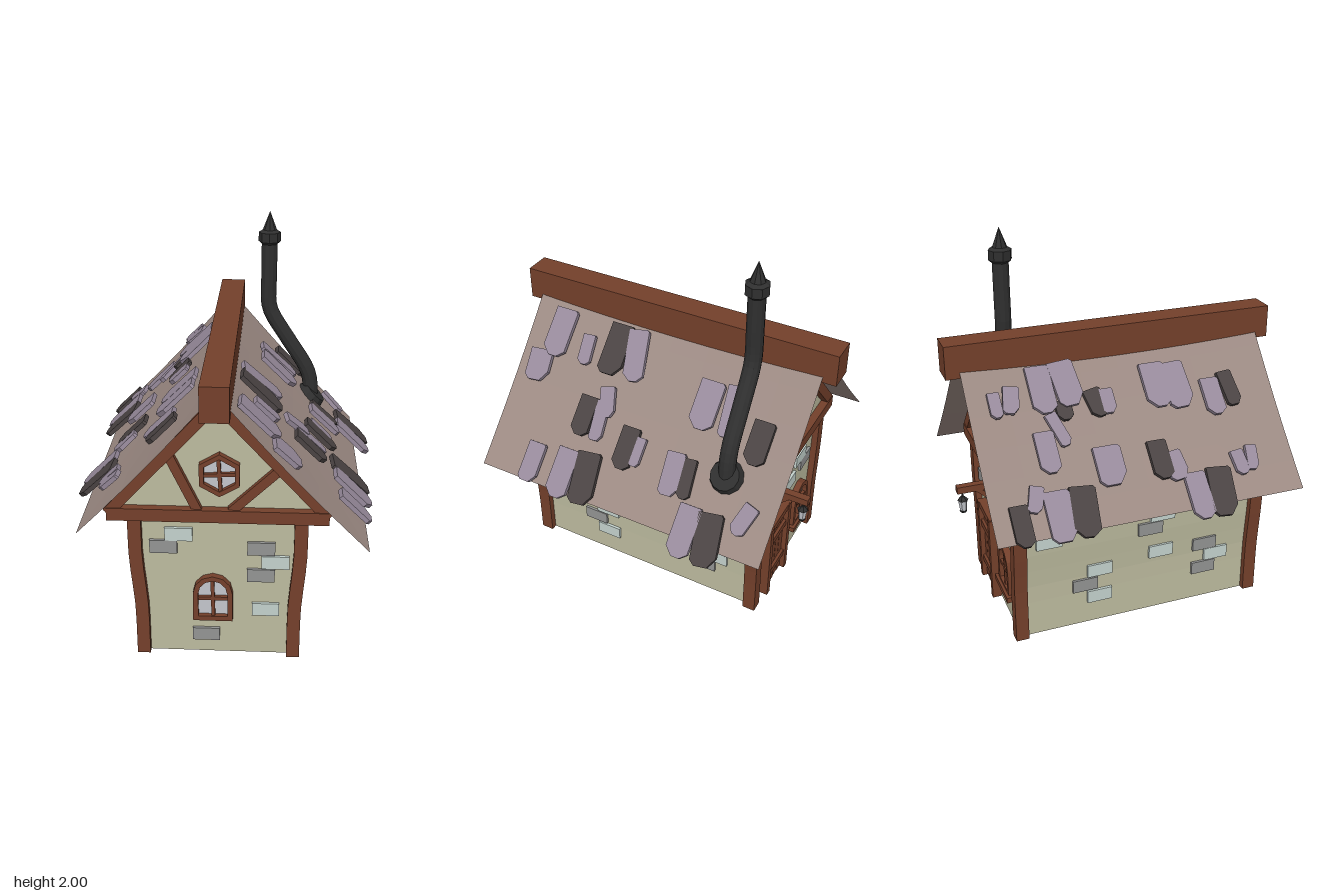
import * as THREE from 'three';

const mat = (color, opts = {}) => new THREE.MeshStandardMaterial({ color, flatShading: true, ...opts });
const M = {
  wall: mat(0xbdbb9f, { side: THREE.DoubleSide }),
  roof: mat(0x9c8a83, { side: THREE.DoubleSide }),
  wood: mat(0x74402b),
  iron: mat(0x2f2f2f),
  glass: mat(0xc3c6cc, { side: THREE.DoubleSide }),
  tile: mat(0x978a9b),
  darkTile: mat(0x4a4343),
  brick: mat(0xc4d2cd),
  darkBrick: mat(0x939493),
};

const HALF = 0.375, FRONT = 0.667, BACK = -0.635, MID = (FRONT + BACK) / 2;
// Outward lean of posts and walls at height y
const flare = (y) => 0.025 * THREE.MathUtils.smoothstep(y, 0.22, 0.62);
// Roof height at distance d from the ridge
const roofY = (d) => 1.46 - 1.085 * d - 0.02 * Math.sin((Math.PI * Math.min(d, 0.7)) / 0.7);

function add(parent, name, geo, material, x = 0, y = 0, z = 0) {
  const m = new THREE.Mesh(geo, material);
  m.name = name;
  m.position.set(x, y, z);
  parent.add(m);
  return m;
}
const box = (parent, name, material, w, h, d, x, y, z) =>
  add(parent, name, new THREE.BoxGeometry(w, h, d), material, x, y, z);

// Flat beam running between two points of a facade
function beam(parent, name, [x1, y1], [x2, y2], w, d, z) {
  const m = box(parent, name, M.wood, Math.hypot(x2 - x1, y2 - y1), w, d, (x1 + x2) / 2, (y1 + y2) / 2, z);
  m.rotation.z = Math.atan2(y2 - y1, x2 - x1);
}
const poly = (pts) => new THREE.Shape(pts.map(([x, y]) => new THREE.Vector2(x, y)));

// Window made of an outline, a smaller outline as hole, a pane and crossed bars
function windowUnit(parent, name, outer, inner, cy, barW, barH, x, y, tilt) {
  const g = new THREE.Group();
  g.name = name;
  g.position.set(x, y, 0);
  const shape = poly(outer);
  shape.holes.push(poly(inner));
  add(g, 'windowFrame', new THREE.ExtrudeGeometry(shape, { depth: 0.045, bevelEnabled: false }), M.wood, 0, 0, -0.01);
  add(g, 'windowPane', new THREE.ShapeGeometry(poly(inner)), M.glass, 0, 0, 0.01);
  box(g, 'windowBar', M.wood, 0.018, barH, 0.02, 0, cy, 0.018).rotation.z = tilt;
  box(g, 'windowBar', M.wood, barW, 0.018, 0.02, 0, cy, 0.018).rotation.z = tilt;
  parent.add(g);
}
const hexagon = (r) => [...Array(6)].map((_, i) => {
  const a = Math.PI / 2 + (i * Math.PI) / 3;
  return [r * Math.cos(a), r * Math.sin(a)];
});
function arch(half, y0, ySide, rise) {
  const pts = [[-half, y0], [half, y0]];
  for (let i = 0; i <= 6; i++) {
    const a = (i * Math.PI) / 6;
    pts.push([half * Math.cos(a), ySide + rise * Math.sin(a)]);
  }
  return pts;
}

function brick(parent, x, y, z, dark, side) {
  const m = box(parent, 'brick', dark ? M.darkBrick : M.brick, 0.135, 0.07, 0.03, x, y, z);
  if (side) m.rotation.y = Math.PI / 2;
}

// End wall with gable, timber framing and windows, facing +z
function facade(name, windowX, windowY, bricks) {
  const g = new THREE.Group();
  g.name = name;
  const half = [[HALF, 0], [HALF, 0.22], [HALF + 0.025, 0.62], [HALF + 0.025, 0.79], [0.51, 0.79]];
  const outline = [...half, [0, 1.38], ...half.map(([x, y]) => [-x, y]).reverse()];
  add(g, 'endWall', new THREE.ShapeGeometry(poly(outline)), M.wall);
  box(g, 'crossBeam', M.wood, 1.06, 0.065, 0.085, 0, 0.797, 0);
  for (const s of [-1, 1]) {
    beam(g, 'rafter', [s * 0.525, 0.8], [0, 1.375], 0.055, 0.075, 0);
    const post = new THREE.BoxGeometry(0.065, 0.78, 0.068, 1, 8, 1).translate(0, 0.39, 0);
    const p = post.attributes.position;
    for (let i = 0; i < p.count; i++) p.setX(i, p.getX(i) + s * flare(p.getY(i)));
    add(g, 'cornerPost', post, M.wood, s * HALF, 0, 0);
  }
  beam(g, 'brace', [-0.225, 1.1], [-0.095, 0.82], 0.045, 0.05, 0.005);
  beam(g, 'brace', [0.28, 1.03], [0.065, 0.82], 0.045, 0.05, 0.005);
  windowUnit(g, 'gableWindow', hexagon(0.11), hexagon(0.084), 0, 0.15, 0.17, 0.01, 1.01, 0.06);
  windowUnit(g, 'archedWindow', arch(0.098, 0, 0.155, 0.1), arch(0.072, 0.026, 0.155, 0.075),
    0.125, 0.15, 0.22, windowX, windowY, 0.02);
  for (const [x, y, dark] of bricks) brick(g, x, y, 0, dark);
  return g;
}

// Plank door with posts and cross bars
function door() {
  const g = new THREE.Group();
  g.name = 'door';
  for (const s of [-1, 1]) box(g, 'doorPost', M.wood, 0.035, 0.48, 0.06, s * 0.115, 0.24, 0.02);
  for (let i = 0; i < 4; i++) box(g, 'doorPlank', M.wood, 0.044, 0.43 + (i % 2) * 0.015, 0.025, -0.072 + i * 0.048, 0.23, 0.012);
  for (const y of [0.12, 0.35]) box(g, 'doorBar', M.wood, 0.2, 0.035, 0.02, 0, y, 0.03);
  box(g, 'doorLintel', M.wood, 0.25, 0.035, 0.05, 0, 0.465, 0.02);
  return g;
}

// Bracket with hanging lantern
function lantern() {
  const g = new THREE.Group();
  g.name = 'lantern';
  box(g, 'bracketArm', M.wood, 0.04, 0.038, 0.19, 0, 0.64, 0.09);
  box(g, 'bracketBrace', M.wood, 0.03, 0.025, 0.1, 0, 0.595, 0.04).rotation.x = -0.75;
  add(g, 'lanternHook', new THREE.CylinderGeometry(0.005, 0.005, 0.04, 5), M.iron, 0, 0.61, 0.155);
  add(g, 'lanternCap', new THREE.CylinderGeometry(0.01, 0.03, 0.022, 6), M.iron, 0, 0.584, 0.155);
  add(g, 'lanternGlass', new THREE.CylinderGeometry(0.025, 0.018, 0.06, 6), M.glass, 0, 0.543, 0.155);
  add(g, 'lanternBase', new THREE.CylinderGeometry(0.021, 0.017, 0.012, 6), M.iron, 0, 0.507, 0.155);
  return g;
}

// One roof slope: a thin sagging sheet
function roofSlope(s, width) {
  const geo = new THREE.PlaneGeometry(1, 1, 6, 8);
  const p = geo.attributes.position;
  for (let i = 0; i < p.count; i++) {
    const d = (p.getX(i) + 0.5) * width, z = p.getY(i) * 1.6;
    p.setXYZ(i, s * d, roofY(d) - 0.025 * (1 - (z / 0.8) ** 2) * (1 - d / width), z);
  }
  geo.computeVertexNormals();
  return geo;
}

// Loose tiles: [distance from ridge, z, width, length, dark, turn]
const RIGHT_TILES = [
  [0.18, 0.61, 0.13, 0.26, 0, 0], [0.31, 0.67, 0.13, 0.17, 0, 0.1], [0.21, 0.43, 0.07, 0.16, 0, 0.1],
  [0.18, 0.27, 0.13, 0.27, 1, 0], [0.18, 0.15, 0.11, 0.27, 0, 0.2], [0.36, 0.22, 0.08, 0.16, 0, 0.3],
  [0.43, 0.32, 0.1, 0.21, 1, 0], [0.43, 0.23, 0.07, 0.21, 0, 0.1], [0.49, 0.04, 0.1, 0.22, 1, 0],
  [0.49, -0.03, 0.05, 0.15, 0, 0], [0.265, -0.295, 0.13, 0.25, 0, 0], [0.26, -0.43, 0.09, 0.26, 0, 0.1],
  [0.33, -0.61, 0.11, 0.22, 1, 0], [0.52, -0.24, 0.1, 0.22, 0, 0.08], [0.52, -0.32, 0.07, 0.2, 1, 0.1],
  [0.65, 0.515, 0.1, 0.21, 0, 0], [0.65, 0.33, 0.12, 0.26, 0, 0], [0.64, 0.2, 0.13, 0.27, 1, 0.12],
  [0.69, -0.395, 0.12, 0.26, 0, 0], [0.69, -0.52, 0.13, 0.26, 1, 0.15], [0.585, -0.66, 0.08, 0.16, 0, -0.3],
];
const LEFT_TILES = [
  [0.61, -0.67, 0.09, 0.2, 1, 0], [0.6, -0.48, 0.13, 0.25, 0, 0], [0.6, -0.36, 0.13, 0.25, 1, -0.1],
  [0.53, -0.58, 0.07, 0.13, 0, -0.3], [0.38, -0.47, 0.1, 0.21, 0, 0], [0.31, -0.39, 0.06, 0.18, 0, 0.3],
  [0.2, -0.67, 0.06, 0.13, 0, 0], [0.19, -0.59, 0.08, 0.14, 0, -0.2], [0.17, -0.43, 0.12, 0.25, 0, 0],
  [0.16, -0.3, 0.13, 0.24, 0, 0.1], [0.25, -0.34, 0.08, 0.1, 1, 0], [0.46, -0.18, 0.14, 0.2, 0, 0],
  [0.24, -0.17, 0.09, 0.15, 1, 0.2], [0.24, -0.11, 0.07, 0.13, 0, 0], [0.47, 0.08, 0.1, 0.2, 1, 0],
  [0.5, 0.15, 0.1, 0.15, 0, 0.15], [0.62, 0.23, 0.11, 0.24, 0, 0], [0.62, 0.35, 0.13, 0.25, 1, -0.1],
  [0.21, 0.16, 0.13, 0.24, 0, 0], [0.22, 0.27, 0.13, 0.25, 0, 0.05], [0.28, 0.45, 0.1, 0.2, 0, 0],
  [0.26, 0.55, 0.08, 0.19, 1, 0.1], [0.53, 0.49, 0.07, 0.13, 0, 0.1], [0.52, 0.56, 0.06, 0.13, 0, -0.15],
];
function addTiles(parent, s, list) {
  const a = Math.atan(1.085) - 0.05;
  const basis = new THREE.Matrix4().makeBasis(
    new THREE.Vector3(0, 0, -s),
    new THREE.Vector3(-s * Math.cos(a), Math.sin(a), 0),
    new THREE.Vector3(s * Math.sin(a), Math.cos(a), 0));
  list.forEach(([d, z, w, l, dark, turn], i) => {
    const c = i % 2 ? 0.2 : 0.35, h = w / 2, k = l / 2;
    const shape = poly([[-h, k], [-h, -k + w * c], [-h + w * c, -k], [h * 0.4, -k], [h, -k + w * (0.6 - c)], [h, k - w * 0.1], [h * 0.8, k]]);
    const geo = new THREE.ExtrudeGeometry(shape, { depth: 0.024, bevelEnabled: false }).rotateZ(turn).applyMatrix4(basis);
    add(parent, 'roofTile', geo, dark ? M.darkTile : M.tile, s * (d + 0.005), roofY(d) + 0.01, z);
  });
}

// Bent stove pipe with flange and pointed cap
function chimney() {
  const g = new THREE.Group();
  g.name = 'chimney';
  const pts = [[0, 1.86], [0, 1.65], [0, 1.5], [0.015, 1.44], [0.12, 1.27], [0.215, 1.12], [0.24, 1.05], [0.25, 0.92]];
  const path = new THREE.CatmullRomCurve3(pts.map(([x, y]) => new THREE.Vector3(x, y, 0)));
  add(g, 'pipe', new THREE.TubeGeometry(path, 24, 0.043, 12), M.iron);
  const flange = add(g, 'pipeFlange', new THREE.CylinderGeometry(0.075, 0.095, 0.06, 12), M.iron, 0.255, 0.945, 0);
  flange.rotation.z = -0.8;
  add(g, 'capCollar', new THREE.CylinderGeometry(0.06, 0.06, 0.05, 8), M.iron, 0, 1.862, 0);
  add(g, 'capSkirt', new THREE.CylinderGeometry(0.06, 0.044, 0.015, 8), M.iron, 0, 1.83, 0);
  add(g, 'capShoulder', new THREE.CylinderGeometry(0.035, 0.06, 0.015, 8), M.iron, 0, 1.894, 0);
  add(g, 'capPoint', new THREE.ConeGeometry(0.04, 0.105, 8), M.iron, 0, 1.9475, 0);
  g.position.set(0.213, 0, -0.502);
  return g;
}

export function createModel() {
  const model = new THREE.Group();
  model.name = 'cottage';
  const house = new THREE.Group();
  house.name = 'house';
  house.rotation.y = 0.052;
  house.position.x = -0.022;
  model.add(house);

  const front = facade('frontWall', -0.025, 0.205, [[-0.19, 0.68, 0], [-0.265, 0.61, 1], [0.21, 0.61, 1],
    [0.28, 0.535, 0], [0.21, 0.46, 1], [0.235, 0.265, 0], [-0.06, 0.11, 1]]);
  front.position.z = FRONT;
  const back = facade('backWall', 0.19, 0.19, [[-0.28, 0.6, 1], [-0.22, 0.67, 0], [0.18, 0.64, 0], [0.25, 0.57, 1], [0.05, 0.55, 0]]);
  back.position.z = BACK;
  back.rotation.y = Math.PI;
  box(back, 'windowSill', M.wood, 0.24, 0.03, 0.06, 0.19, 0.19, 0.02);
  const d = door(), l = lantern();
  d.position.x = -0.14;
  l.position.x = -0.13;
  back.add(d, l);
  house.add(front, back);

  // Side walls with scattered bricks, the second turned half round
  const sideBricks = [[0.5, 0.555, 0], [-0.115, 0.59, 0], [-0.05, 0.515, 1], [-0.115, 0.36, 0], [0.225, 0.32, 0],
    [0.305, 0.24, 1], [0.225, 0.16, 0], [-0.37, 0.345, 1], [-0.44, 0.27, 0], [-0.37, 0.195, 1]];
  for (const s of [1, -1]) {
    const geo = new THREE.PlaneGeometry(FRONT - BACK, 0.97, 1, 10).rotateY((s * Math.PI) / 2).translate(0, 0.485, 0);
    const p = geo.attributes.position;
    for (let i = 0; i < p.count; i++) p.setX(i, s * (HALF + flare(p.getY(i))));
    geo.computeVertexNormals();
    add(house, 'sideWall', geo, M.wall, 0, 0, MID);
    for (const [z, y, dark] of sideBricks) brick(house, s * (HALF + flare(y)), y, s * z + 0.02, dark, true);
  }

  // Roof
  add(house, 'rightRoof', roofSlope(1, 0.717), M.roof);
  add(house, 'leftRoof', roofSlope(-1, 0.66), M.roof);
  box(house, 'ridgeBeam', M.wood, 0.135, 0.17, 1.74, 0, 1.435, 0);
  addTiles(house, 1, RIGHT_TILES);
  addTiles(house, -1, LEFT_TILES);
  house.add(chimney());
  return model;
}
